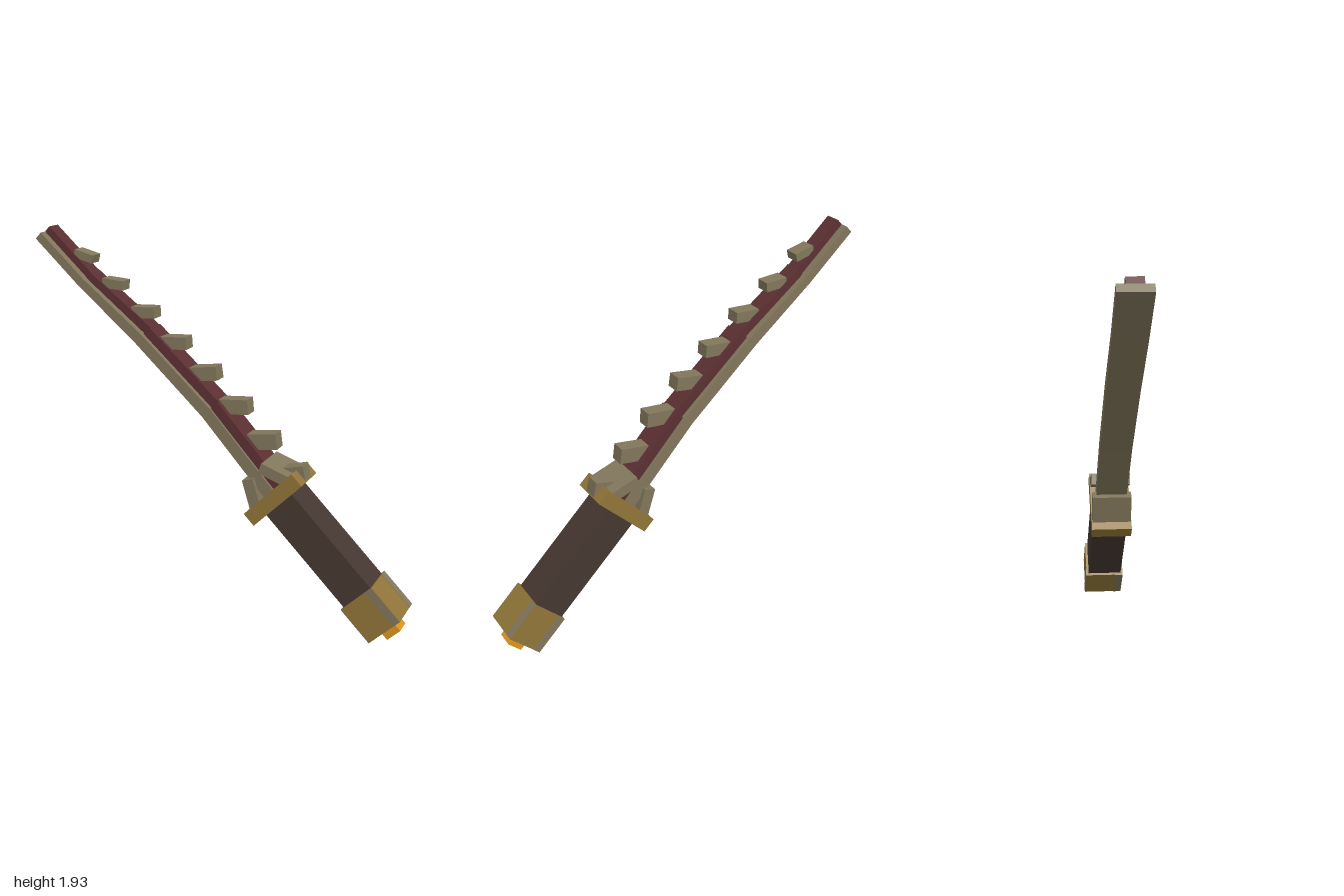
import * as THREE from 'three';

const mat = (name, color) => Object.assign(new THREE.MeshStandardMaterial({ color, flatShading: true }), { name });

export function createModel() {
  const bone = mat('weathered bone', 0x82775c);
  const red = mat('dark red', 0x5c3032);
  const leather = mat('dark leather', 0x453730);
  const gold = mat('old gold', 0x917539);
  const orange = mat('bright orange', 0xdc951c);

  const model = new THREE.Group();
  model.name = 'dagger';

  const box = (parent, name, material, size, pos, angle = 0) => {
    const m = new THREE.Mesh(new THREE.BoxGeometry(...size), material);
    m.name = name;
    m.position.set(...pos);
    m.rotation.z = THREE.MathUtils.degToRad(angle);
    parent.add(m);
    return m;
  };

  // Flat outline extruded evenly to both sides of z = 0
  const prism = (name, material, points, half) => {
    const shape = new THREE.Shape(points.map(p => new THREE.Vector2(...p)));
    const g = new THREE.ExtrudeGeometry(shape, { depth: half * 2, bevelEnabled: false });
    g.translate(0, 0, -half);
    const m = new THREE.Mesh(g, material);
    m.name = name;
    model.add(m);
  };

  // Hilt: local y runs along the grip, local x across it
  const hilt = new THREE.Group();
  hilt.name = 'hilt';
  hilt.position.set(0.85, 0.154, 0);
  hilt.rotation.z = Math.PI / 4;
  model.add(hilt);
  box(hilt, 'grip', leather, [0.185, 0.63, 0.185], [0, 0.405, 0]);
  box(hilt, 'pommel', gold, [0.212, 0.212, 0.21], [0, 0, 0]);
  box(hilt, 'pommelKnob', orange, [0.09, 0.07, 0.09], [-0.005, -0.12, 0]);
  box(hilt, 'guard', gold, [0.352, 0.077, 0.21], [-0.006, 0.735, 0]);

  // Worn strip along one edge of each pommel side
  for (let i = 0; i < 4; i++) {
    const side = new THREE.Group();
    side.name = 'pommelWear';
    side.rotation.y = i * Math.PI / 2;
    box(side, 'wornStrip', bone, [0.045, 0.212, 0.004], [0.0825, 0, 0.106]);
    hilt.add(side);
  }

  // Prongs rising from the guard
  box(model, 'lowerProng', bone, [0.06, 0.19, 0.204], [0.218, 0.665, 0], 17);
  box(model, 'upperProng', bone, [0.19, 0.055, 0.204], [0.345, 0.795, 0], -19);

  // Curved blade: wide outer edge with a narrower red spine above it
  const edge = [[-1, 1.87], [-0.757, 1.647], [-0.446, 1.39], [-0.067, 1.043], [0.28, 0.66]];
  const spine = [[-0.943, 1.93], [-0.71, 1.716], [-0.366, 1.46], [0.013, 1.123], [0.385, 0.72]];
  const middle = edge.map((e, i) => e.map((c, k) => c + (spine[i][k] - c) * 0.55));
  const spineHalf = [0.04, 0.046, 0.056, 0.067];
  for (let i = 0; i < 4; i++) {
    prism('bladeEdge', bone, [edge[i], edge[i + 1], middle[i + 1], middle[i]], 0.08);
    prism('bladeSpine', red, [middle[i], middle[i + 1], spine[i + 1], spine[i]], spineHalf[i]);
  }

  // Row of teeth: x, y, length, height, tilt
  const teeth = [
    [-0.75, 1.79, 0.107, 0.042, -14], [-0.585, 1.66, 0.118, 0.048, -4],
    [-0.415, 1.53, 0.13, 0.056, 3], [-0.245, 1.39, 0.142, 0.063, 4],
    [-0.08, 1.25, 0.146, 0.07, 8], [0.085, 1.1, 0.153, 0.075, 5],
    [0.24, 0.94, 0.152, 0.08, 8], [0.395, 0.79, 0.145, 0.08, 13],
  ];
  for (const [x, y, l, h, a] of teeth) box(model, 'tooth', bone, [l, h, 0.075], [x, y, 0], a);

  return model;
}
